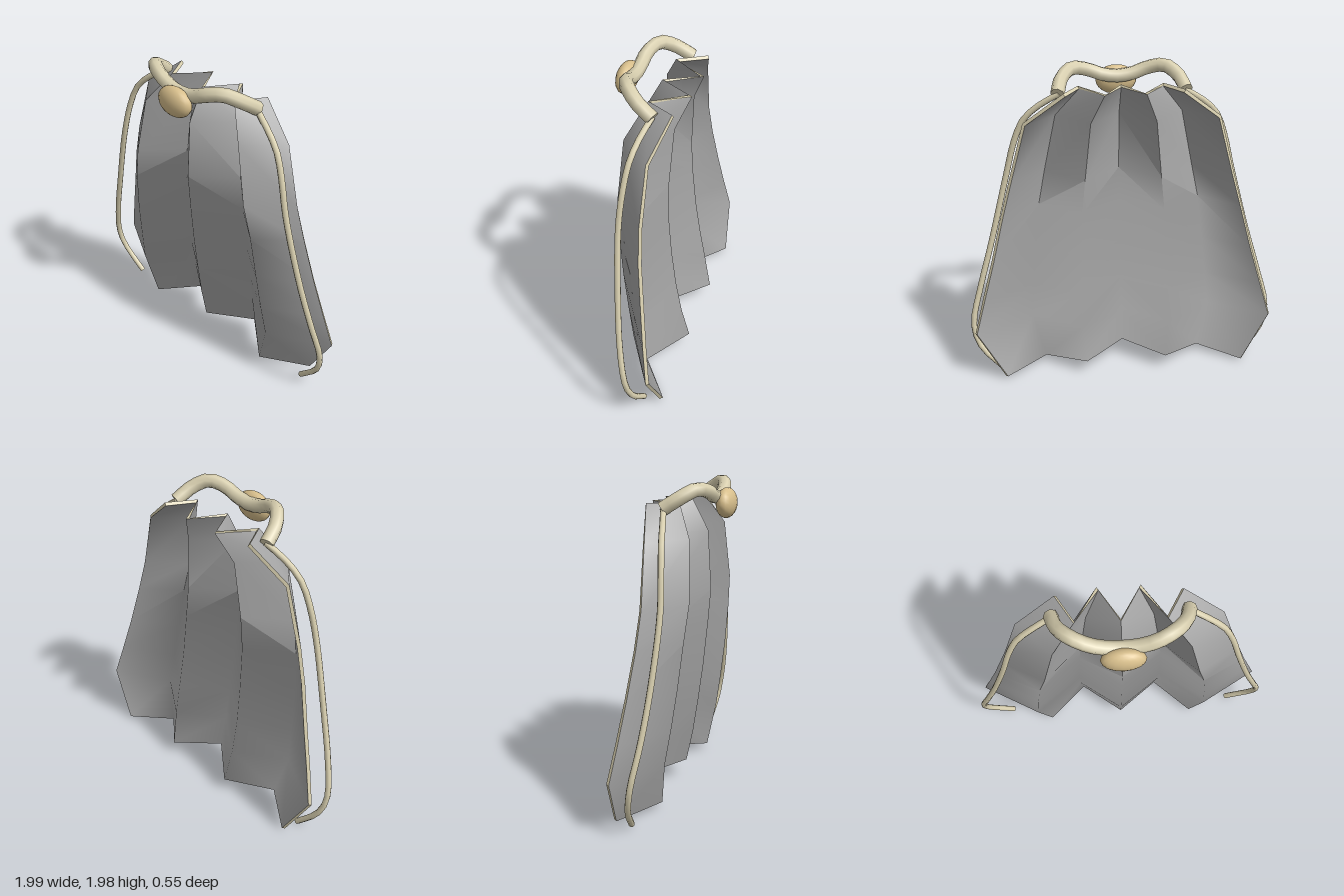
import * as THREE from 'three';
import { toCreasedNormals } from 'three/addons/utils/BufferGeometryUtils.js';

const material = (name, color) => {
  const m = new THREE.MeshStandardMaterial({ color });
  m.name = name;
  return m;
};

// Cloth rows from collar to hem: y, fold column x (1..3), front z, back z, side edge z
const ROWS = [
  [1.86, 0.12, 0.26, 0.36, -0.01, -0.21, -0.18],
  [1.67, 0.20, 0.40, 0.60, 0.09, -0.13, -0.11],
  [1.30, 0.24, 0.475, 0.70, 0.11, -0.11, -0.10],
  [1.08, 0.26, 0.52, 0.76, 0.09, -0.115, -0.115],
  [0.80, 0.27, 0.55, 0.83, 0.06, -0.14, -0.15],
  [0.55, 0.28, 0.57, 0.90, 0.025, -0.175, -0.185],
  [0.33, 0.28, 0.59, 0.96, -0.01, -0.215, -0.22],
  [0.12, 0.26, 0.51, 0.78, -0.055, -0.265, -0.25],
];
const HEM_Y = [0.125, 0.1, 0.045, 0.02];
const COLS = 7;
const HALF_THICKNESS = 0.011;

function geometryFrom(points, index) {
  const g = new THREE.BufferGeometry();
  g.setAttribute('position', new THREE.Float32BufferAttribute(points.flatMap((p) => p.toArray()), 3));
  g.setIndex(index);
  g.computeVertexNormals();
  return g;
}

// Pleated grid of points, alternating front and back folds
function clothPoints() {
  const points = [];
  ROWS.forEach(([y, x1, x2, x3, front, back, edge], r) => {
    const xs = [0, x1, x2, x3], zs = [front, back, front, edge];
    for (let c = -3; c <= 3; c++) {
      const k = Math.abs(c);
      points.push(new THREE.Vector3(Math.sign(c) * xs[k], r === ROWS.length - 1 ? HEM_Y[k] : y, zs[k]));
    }
  });
  return points;
}

function sheetIndex(flip) {
  const index = [];
  for (let r = 0; r < ROWS.length - 1; r++) {
    for (let c = 0; c < COLS - 1; c++) {
      const a = r * COLS + c, b = a + COLS, d = a + 1, e = b + 1;
      // Diagonals mirror about the centre
      const tris = c < 3 ? [a, b, d, b, e, d] : [a, b, e, a, e, d];
      index.push(...(flip ? tris.reverse() : tris));
    }
  }
  return index;
}

function makeCloth(grey, cream) {
  const cloth = new THREE.Group();
  cloth.name = 'cape';
  const points = clothPoints();
  const normals = geometryFrom(points, sheetIndex(false)).attributes.normal;
  const shift = (d) => points.map((p, i) =>
    new THREE.Vector3().fromBufferAttribute(normals, i).multiplyScalar(d).add(p));
  const front = shift(HALF_THICKNESS), back = shift(-HALF_THICKNESS);

  // Outer and inner faces: sharp pleats near the collar, soft ones lower down
  [['capeFront', front, false], ['capeBack', back, true]].forEach(([name, pts, flip]) => {
    const mesh = new THREE.Mesh(toCreasedNormals(geometryFrom(pts, sheetIndex(flip)), 1.45), grey);
    mesh.name = name;
    cloth.add(mesh);
  });

  // Pale border closing the sheet all around
  const loop = [], last = ROWS.length - 1;
  for (let r = 0; r < last; r++) loop.push(r * COLS);
  for (let c = 0; c < COLS - 1; c++) loop.push(last * COLS + c);
  for (let r = last; r > 0; r--) loop.push(r * COLS + COLS - 1);
  for (let c = COLS - 1; c > 0; c--) loop.push(c);
  const n = points.length, walls = [];
  loop.forEach((p, i) => {
    const q = loop[(i + 1) % loop.length];
    walls.push(p, p + n, q + n, p, q + n, q);
  });
  const border = new THREE.Mesh(toCreasedNormals(geometryFrom([...front, ...back], walls), 0.6), cream);
  border.name = 'capeBorder';
  cloth.add(border);
  return cloth;
}

// Capped tube through a list of points
function makeCord(name, list, radius, segments, mat) {
  const group = new THREE.Group();
  group.name = name;
  const curve = new THREE.CatmullRomCurve3(list.map((p) => new THREE.Vector3(...p)));
  group.add(new THREE.Mesh(new THREE.TubeGeometry(curve, segments, radius, 8, false), mat));
  [0, 1].forEach((t) => {
    const cap = new THREE.Mesh(new THREE.CircleGeometry(radius, 8), mat);
    const dir = curve.getTangentAt(t).multiplyScalar(t ? 1 : -1);
    cap.position.copy(curve.getPointAt(t));
    cap.quaternion.setFromUnitVectors(new THREE.Vector3(0, 0, 1), dir);
    group.add(cap);
  });
  group.children.forEach((m, i) => { m.name = i ? name + 'End' : name + 'Tube'; });
  return group;
}

export function createModel() {
  const grey = material('grey cloth', 0xa6a6a6);
  const cream = material('cream cord', 0xd9d0b0);
  const tan = material('tan clasp', 0xd8bf8c);
  const model = new THREE.Group();
  model.name = 'cape with clasp';
  model.add(makeCloth(grey, cream));

  // Side cords hanging in front of the cloth edges
  const side = [
    [0.38, 1.84, -0.065], [0.50, 1.765, -0.03], [0.60, 1.67, -0.005], [0.66, 1.53, 0.012],
    [0.72, 1.30, 0.025], [0.83, 0.88, 0.0], [0.92, 0.57, -0.035], [0.975, 0.35, -0.075],
    [0.965, 0.24, -0.095], [0.92, 0.15, -0.115], [0.795, 0.018, -0.14],
  ];
  [[1, 'leftCord'], [-1, 'rightCord']].forEach(([s, name]) =>
    model.add(makeCord(name, side.map(([x, y, z]) => [s * x, y, z]), 0.019, 28, cream)));

  // Thick collar cord arching over the neck
  const half = [[0.39, 1.84, -0.07], [0.36, 1.905, 0.03], [0.29, 1.95, 0.11], [0.19, 1.93, 0.155], [0.1, 1.895, 0.163]];
  const collar = [...half.map(([x, y, z]) => [-x, y, z]), [0, 1.88, 0.163], ...half.slice().reverse()];
  model.add(makeCord('collarCord', collar, 0.043, 20, cream));

  // Oval clasp
  const clasp = new THREE.Mesh(new THREE.SphereGeometry(1, 16, 12), tan);
  clasp.name = 'clasp';
  clasp.scale.set(0.13, 0.093, 0.062);
  clasp.position.set(0, 1.845, 0.217);
  model.add(clasp);
  return model;
}
